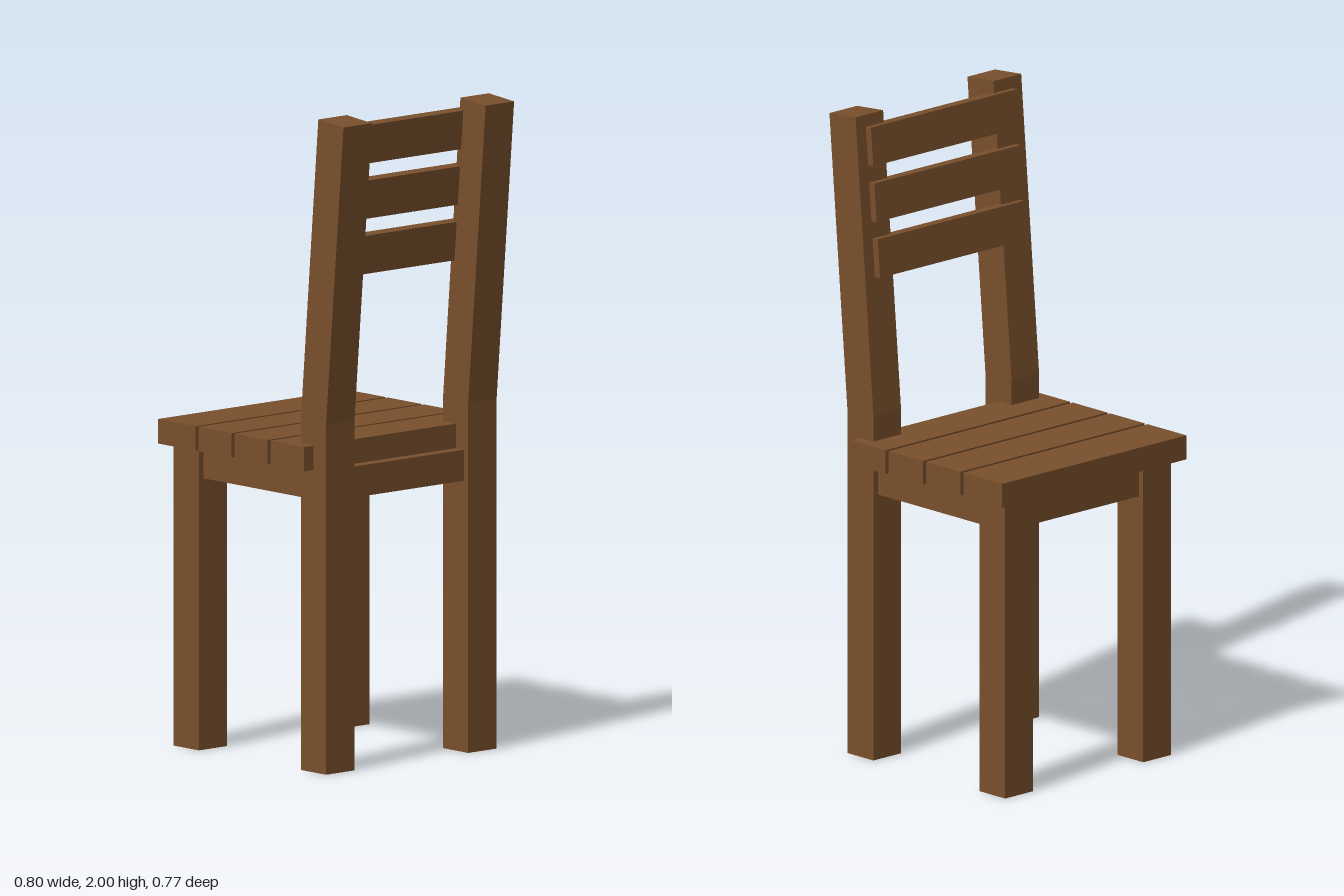
import * as THREE from 'three';

export function createModel() {
  const chair = new THREE.Group();
  chair.name = 'chair';
  const wood = new THREE.MeshStandardMaterial({ color: 0x7a502c });
  wood.name = 'brown wood';

  // Box given by its extents on each axis
  function box(name, [x0, x1], [y0, y1], [z0, z1]) {
    const mesh = new THREE.Mesh(new THREE.BoxGeometry(x1 - x0, y1 - y0, z1 - z0), wood);
    mesh.position.set((x0 + x1) / 2, (y0 + y1) / 2, (z0 + z1) / 2);
    mesh.name = name;
    chair.add(mesh);
  }

  // Side profile extruded along z, centred on zMid
  function profile(name, points, depth, zMid) {
    const shape = new THREE.Shape(points.map(([x, y]) => new THREE.Vector2(x, y)));
    const geometry = new THREE.ExtrudeGeometry(shape, { depth, bevelEnabled: false });
    geometry.translate(0, 0, zMid - depth / 2);
    const mesh = new THREE.Mesh(geometry, wood);
    mesh.name = name;
    chair.add(mesh);
  }

  // Legs, leaning back posts and side rails, mirrored in z
  const postProfile = [[0.205, 0], [0.318, 0], [0.318, 1.07], [0.397, 1.99], [0.283, 2], [0.205, 1.08]];
  for (const side of [-1, 1]) {
    const span = (a, b) => (side > 0 ? [a, b] : [-b, -a]);
    box('frontLeg', [-0.37, -0.257], [0, 0.925], span(0.23, 0.345));
    profile('backPost', postProfile, 0.115, side * 0.2875);
    box('sideRail', [-0.257, 0.205], [0.83, 0.925], span(0.25, 0.326));
  }

  // Front and back rails between the legs
  box('frontRail', [-0.352, -0.276], [0.83, 0.925], [-0.23, 0.23]);
  box('backRail', [0.222, 0.298], [0.83, 0.925], [-0.23, 0.23]);

  // Seat planks
  for (const x of [[-0.398, -0.228], [-0.215, -0.065], [-0.052, 0.098], [0.111, 0.262]]) {
    box('seatPlank', x, [0.925, 1], [-0.384, 0.384]);
  }

  // Backrest slats, tilted with the posts and let into their front faces
  const lean = 0.0865, height = 0.119, thickness = 0.038;
  for (let i = 0; i < 3; i++) {
    const x = 0.218 + i * 0.0148, y = 1.502 + i * 0.172;
    profile('backSlat', [
      [x, y],
      [x + thickness, y - thickness * lean],
      [x + thickness + height * lean, y + height - thickness * lean],
      [x + height * lean, y + height],
    ], 0.61, 0);
  }

  return chair;
}
